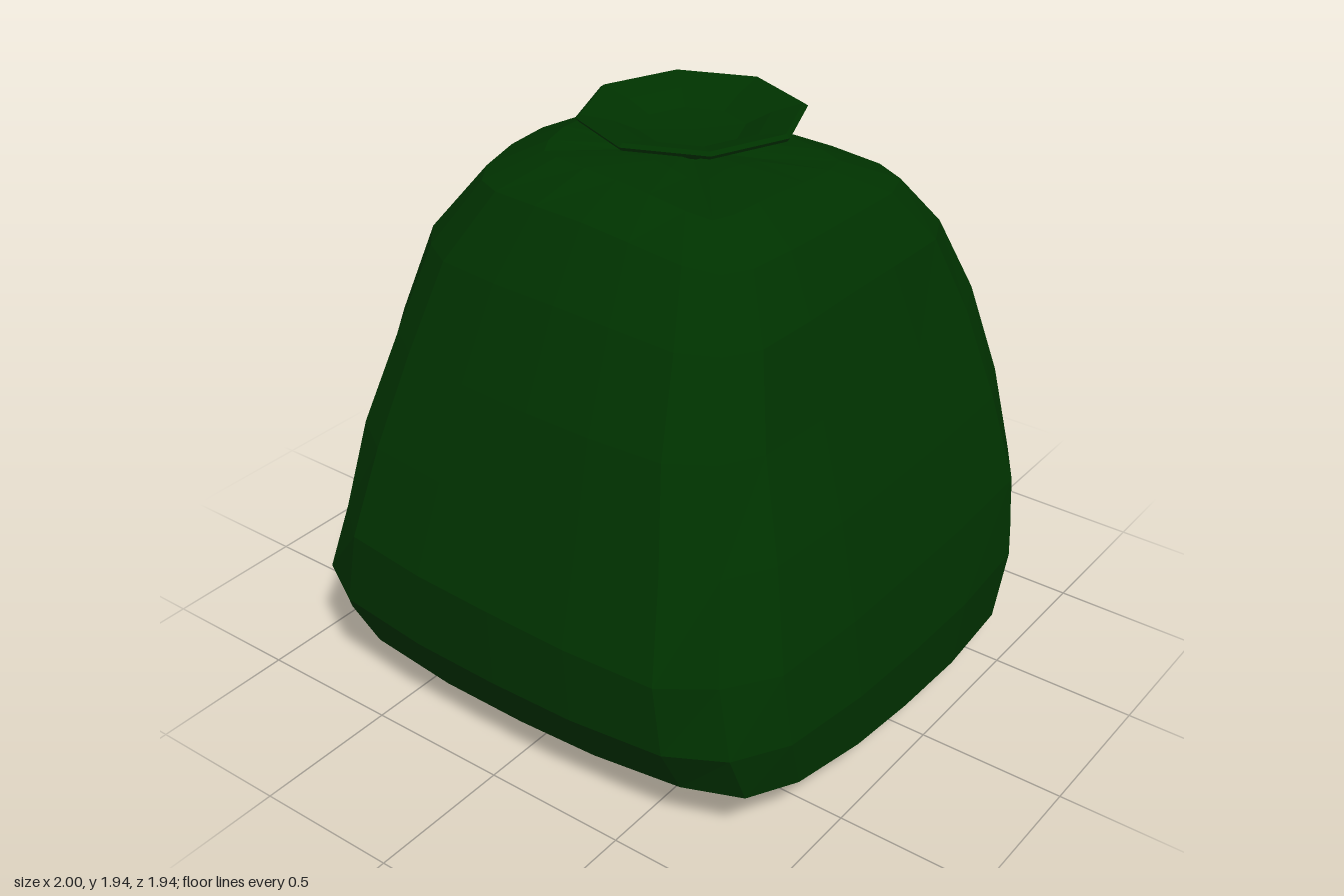
import * as THREE from 'three';

// Sack cross-sections: [y, left +x, right -x, front +z, back -z, corner roundness, bottom lift, top tilt]
const SECTIONS = [
  [0.01, 0.36, 0.34, 0.37, 0.37, 0.90, 0.08, 0],
  [0.045, 0.72, 0.64, 0.73, 0.74, 0.90, 0.08, 0],
  [0.13, 0.93, 0.86, 0.95, 0.97, 0.89, 0.08, 0],
  [0.36, 0.99, 0.98, 0.97, 0.98, 0.87, 0.04, 0],
  [0.64, 0.98, 0.99, 0.93, 0.89, 0.85, 0, 0],
  [0.94, 0.94, 0.88, 0.84, 0.85, 0.86, 0, 0],
  [1.24, 0.89, 0.77, 0.73, 0.83, 0.86, 0, 0],
  [1.53, 0.76, 0.63, 0.64, 0.75, 0.86, 0, 0.02],
  [1.725, 0.60, 0.49, 0.53, 0.57, 0.88, 0, 0.07],
  [1.81, 0.42, 0.32, 0.37, 0.39, 0.90, 0, 0.08],
  [1.825, 0.22, 0.13, 0.18, 0.20, 0.92, 0, 0.08],
];

// Square with chamfered corners, six segments per side, running front, +x, back, -x
function unitSquare(c) {
  const along = [0, 0.33, 0.68, c], out = [1, 0.997, 0.97, c];
  const points = [];
  for (let q = 0; q < 4; q++) {
    for (let k = -3; k < 3; k++) {
      let x = Math.sign(k) * along[Math.abs(k)];
      let z = out[Math.abs(k)];
      for (let r = 0; r < q; r++) [x, z] = [z, -x];
      points.push([x, z]);
    }
  }
  return points;
}

// How far each vertical corner swells or sinks at a given height
function cornerSwell(u, v, y) {
  if (u > 0 && v > 0) return y < 0.5 ? 0 : 0.02;
  if (u > 0) return y < 0.3 ? 0.03 : y < 0.5 ? 0 : -0.04;
  return v < 0 && y > 1.2 ? -0.05 : 0;
}

function sackGeometry() {
  const positions = [], index = [], n = 24;
  for (const [y, xp, xm, zp, zm, c, lift, tilt] of SECTIONS) {
    const low = Math.max(0, 1 - y / 0.9);
    for (const [u, v] of unitSquare(c)) {
      const corner = (u * v) ** 2;
      const swell = 1 + 2 * cornerSwell(u, v, y) * corner;
      let x = u * (u > 0 ? xp : xm) * swell;
      let z = v * (v > 0 ? zp : zm) * swell;
      // two opposite lower corners lift; the shoulders tilt and round off
      const p = x * z;
      const slope = tilt * THREE.MathUtils.clamp(x + z, -0.55, 0.5);
      const shoulder = y > 1.5 ? 0.035 * corner : 0;
      const h = y + lift * (p * p - p) - slope - shoulder;
      // low down, the back wall is dented and its right corner pushed backwards
      if (v < 0) {
        z += 0.1 * low * -v * Math.max(0, 1 - Math.abs(x - 0.1) / 0.75);
        if (u < 0) z -= 0.06 * low * u * v;
      }
      // the sides are skewed, most of all near the ground
      x -= 0.05 * (1 - y / 1.9) * z;
      positions.push(x, h, z);
    }
  }
  for (let j = 0; j < SECTIONS.length - 1; j++) {
    for (let i = 0; i < n; i++) {
      const a = j * n + i, b = j * n + (i + 1) % n;
      index.push(a, b, b + n, a, b + n, a + n);
    }
  }
  // closing fans at the bottom and top
  const bottom = positions.length / 3, last = (SECTIONS.length - 1) * n;
  positions.push(0, 0.01, 0, 0.05, 1.81, 0);
  for (let i = 0; i < n; i++) {
    const k = (i + 1) % n;
    index.push(bottom, k, i, bottom + 1, last + i, last + k);
  }
  const geometry = new THREE.BufferGeometry();
  geometry.setAttribute('position', new THREE.Float32BufferAttribute(positions, 3));
  geometry.setIndex(index);
  geometry.computeVertexNormals();
  return geometry;
}

export function createModel() {
  const group = new THREE.Group();
  group.name = 'tiedSack';
  const green = new THREE.MeshStandardMaterial({ color: 0x003200, flatShading: true });
  green.name = 'darkGreen';

  const sack = new THREE.Mesh(sackGeometry(), green);
  sack.name = 'sackBody';
  group.add(sack);

  // Gathered neck flaring into a shallow eight-sided dish
  const profile = [
    [0.12, 1.78], [0.085, 1.81], [0.12, 1.85], [0.17, 1.88], [0.26, 1.892],
    [0.355, 1.922], [0.365, 1.935], [0.35, 1.945], [0.25, 1.92], [0.17, 1.885], [0, 1.875],
  ].map(([r, y]) => new THREE.Vector2(r, y));
  const neck = new THREE.Mesh(new THREE.LatheGeometry(profile, 8), green);
  neck.name = 'tiedNeck';
  neck.position.x = 0.06;
  group.add(neck);

  return group;
}
